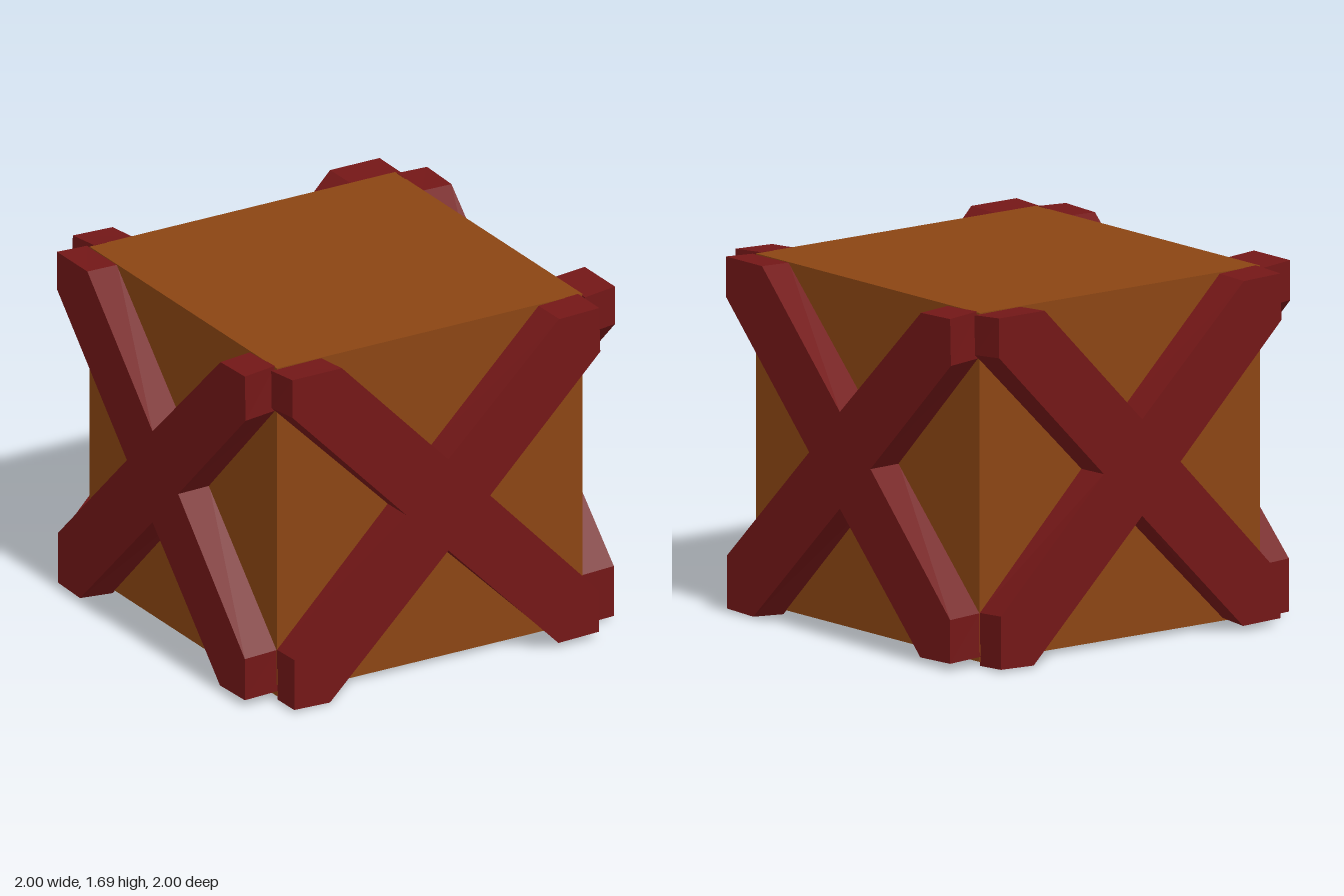
import * as THREE from 'three';

export function createModel() {
  const model = new THREE.Group();
  const wood = new THREE.MeshStandardMaterial({ color: 0x8b4513, flatShading: true });
  const redWood = new THREE.MeshStandardMaterial({ color: 0x731717, flatShading: true });

  // Plain crate body
  const body = new THREE.Mesh(new THREE.BoxGeometry(1.666, 1.66, 1.666), wood);
  body.name = 'crateBody';
  body.position.y = 0.86;
  model.add(body);

  // Outline of the X-shaped brace, counter-clockwise
  const midY = 0.867;
  const outline = [
    [-0.85, 1.695], [-0.85, 1.505], [-0.228, 0.87], [-0.84, 0.275],
    [-0.84, 0.022], [-0.645, 0.016], [0, 0.64], [0.6, 0.035],
    [0.822, 0.042], [0.822, 0.25], [0.228, 0.867], [0.828, 1.46],
    [0.822, 1.682], [0.605, 1.675], [0, 1.1], [-0.58, 1.695],
  ].map(([x, y]) => new THREE.Vector2(x, y - midY));
  const depth = 0.17;
  const brace = new THREE.ExtrudeGeometry(new THREE.Shape(outline), { depth, bevelEnabled: false });

  // Turn the inner outline slightly against the outer one
  const p = brace.attributes.position;
  const v = new THREE.Vector3();
  const zAxis = new THREE.Vector3(0, 0, 1);
  for (let i = 0; i < p.count; i++) {
    v.fromBufferAttribute(p, i);
    v.applyAxisAngle(zAxis, 0.014 * (1 - v.z / depth));
    p.setXYZ(i, v.x, v.y, v.z);
  }
  brace.translate(0, midY, 1 - depth);
  brace.computeVertexNormals();

  // One brace on each of the four sides
  ['front', 'left', 'back', 'right'].forEach((side, i) => {
    const mesh = new THREE.Mesh(brace, redWood);
    mesh.name = side + 'CrossBrace';
    mesh.rotation.y = i * Math.PI / 2;
    model.add(mesh);
  });
  return model;
}
